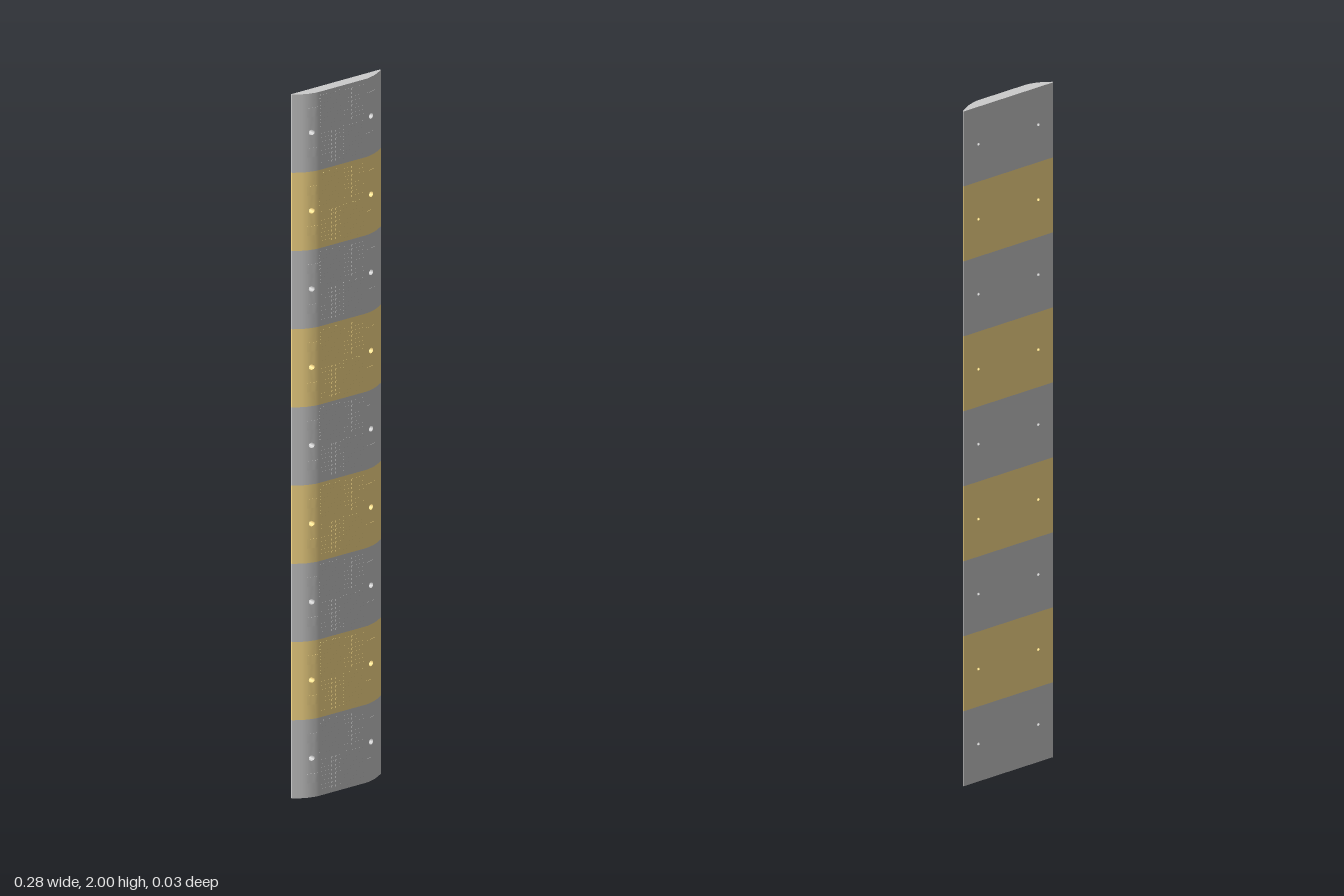
import * as THREE from 'three';
import { mergeGeometries } from 'three/addons/utils/BufferGeometryUtils.js';

const COUNT = 9, H = 2 / COUNT, HALF = 0.142, BACK = -0.016;
const HOLE_X = 0.095, HOLE_R = 0.008, BORE_R = 0.004;
// Half cross-section, edge to crown: [x, z]
const PROFILE = [[HALF, -0.012], [0.12, 0.001], [0.106, 0.0075], [0.084, 0.0133], [0.074, 0.014], [0, 0.014]];

// Height of the ramp surface at x
function surface(x) {
  const a = Math.min(Math.abs(x), HALF);
  for (let i = 1; i < PROFILE.length; i++) {
    const [x0, z0] = PROFILE[i - 1], [x1, z1] = PROFILE[i];
    if (a >= x1) return z1 + (z0 - z1) * (a - x1) / (x0 - x1);
  }
  return 0.014;
}

// Lay a flat geometry over the ramp surface
function drape(geo) {
  const p = geo.attributes.position;
  for (let i = 0; i < p.count; i++) p.setZ(i, p.getZ(i) + surface(p.getX(i)));
  geo.computeVertexNormals();
  return geo;
}

function smoothNormals(geo) {
  const p = geo.attributes.position, n = geo.attributes.normal, e = 0.006;
  for (let i = 0; i < p.count; i++) {
    const x = p.getX(i), a = Math.max(x - e, -HALF), b = Math.min(x + e, HALF);
    const v = new THREE.Vector3(-(surface(b) - surface(a)) / (b - a), 0, 1).normalize();
    n.setXYZ(i, v.x, v.y, v.z);
  }
  return geo;
}

function panel(x0, x1, holes, r) {
  const s = new THREE.Shape();
  s.moveTo(x0, -H / 2).lineTo(x1, -H / 2).lineTo(x1, H / 2).lineTo(x0, H / 2).closePath();
  for (const x of holes) s.holes.push(new THREE.Path().absarc(x, 0, r, 0, Math.PI * 2, true));
  return new THREE.ShapeGeometry(s, 8);
}

function endCap(dir) {
  const right = PROFILE.map(([x, z]) => new THREE.Vector2(x, -dir * z));
  const left = right.slice(0, -1).reverse().map(v => new THREE.Vector2(-v.x, v.y));
  const pts = [new THREE.Vector2(HALF, -dir * BACK), ...right, ...left, new THREE.Vector2(-HALF, -dir * BACK)];
  return new THREE.ShapeGeometry(new THREE.Shape(pts)).rotateX(-dir * Math.PI / 2).translate(0, dir * H / 2, 0);
}

// Ramp shell: front bands, back, side edges and ends
function bodyGeometry() {
  const parts = [panel(-HALF, HALF, [-HOLE_X, HOLE_X], BORE_R).rotateY(Math.PI).translate(0, 0, BACK), endCap(1), endCap(-1)];
  for (const s of [-1, 1]) {
    for (let i = 1; i < PROFILE.length; i++) {
      const a = s * PROFILE[i - 1][0], b = s * PROFILE[i][0];
      const hasHole = PROFILE[i - 1][0] > HOLE_X && PROFILE[i][0] < HOLE_X;
      parts.push(smoothNormals(drape(panel(Math.min(a, b), Math.max(a, b), hasHole ? [s * HOLE_X] : [], HOLE_R))));
    }
    const edge = PROFILE[0][1] - BACK;
    parts.push(new THREE.PlaneGeometry(edge, H).rotateY(s * Math.PI / 2).translate(s * HALF, 0, BACK + edge / 2));
  }
  return mergeGeometries(parts);
}

// Counterbored bolt hole, its rim following the slope
function holeGeometry(x) {
  const pts = [[HOLE_R, 1], [HOLE_R, -0.002], [BORE_R, -0.002], [BORE_R, BACK]].map(p => new THREE.Vector2(...p));
  const g = new THREE.LatheGeometry(pts, 16).rotateX(Math.PI / 2).translate(x, 0, 0);
  const p = g.attributes.position;
  for (let i = 0; i < p.count; i++) if (p.getZ(i) > 0.5) p.setZ(i, surface(p.getX(i)));
  g.computeVertexNormals();
  return g;
}

// Diagonal ribs in two opposite quarters, small studs in the other two
function treadGeometry() {
  const parts = [], w = 0.068, h = 0.096, lift = 0.0012;
  for (const [sx, sy] of [[-1, 1], [1, -1], [-1, -1], [1, 1]]) {
    const cx = sx * 0.037, cy = sy * 0.053;
    if (sx !== sy) {
      for (let c = -0.075; c < 0.08; c += 0.01) {
        // Line x + y = c clipped to the quarter
        const x0 = Math.max(-w / 2, c - h / 2), x1 = Math.min(w / 2, c + h / 2);
        if (x1 - x0 < 0.004) continue;
        const m = (x0 + x1) / 2;
        parts.push(new THREE.BoxGeometry((x1 - x0) * Math.SQRT2, 0.003, lift)
          .rotateZ(-Math.PI / 4).translate(cx + m, cy + c - m, 0.014));
      }
    } else {
      for (let i = 0; i < 6; i++) for (let j = 0; j < 8; j++) {
        parts.push(new THREE.BoxGeometry(0.005, 0.005, lift)
          .translate(cx + (i - 2.5) * 0.0115, cy + (j - 3.5) * 0.0118, 0.014));
      }
    }
  }
  return mergeGeometries(parts);
}

// Low pads near the four corners of a segment
function padGeometry() {
  const parts = [];
  for (const sx of [-1, 1]) for (const sy of [-1, 1]) {
    const box = new THREE.BoxGeometry(0.03, 0.026, 0.0014, 6, 1, 1);
    parts.push(drape(box.translate(sx * 0.093, sy * 0.057, 0)));
  }
  return mergeGeometries(parts);
}

export function createModel() {
  const model = new THREE.Group();
  model.name = 'speedBump';
  const grey = new THREE.MeshStandardMaterial({ color: 0xcccccc, side: THREE.DoubleSide });
  const yellow = new THREE.MeshStandardMaterial({ color: 0xffe08c, side: THREE.DoubleSide });
  const parts = {
    rampBody: bodyGeometry(),
    boltHoles: mergeGeometries([holeGeometry(-HOLE_X), holeGeometry(HOLE_X)]),
    tread: treadGeometry(),
    cornerPads: padGeometry(),
  };
  for (let i = 0; i < COUNT; i++) {
    const segment = new THREE.Group();
    segment.name = i % 2 ? 'yellowSegment' : 'greySegment';
    for (const [name, geo] of Object.entries(parts)) {
      const mesh = new THREE.Mesh(geo, i % 2 ? yellow : grey);
      mesh.name = name;
      segment.add(mesh);
    }
    segment.position.y = (i + 0.5) * H;
    model.add(segment);
  }
  return model;
}
